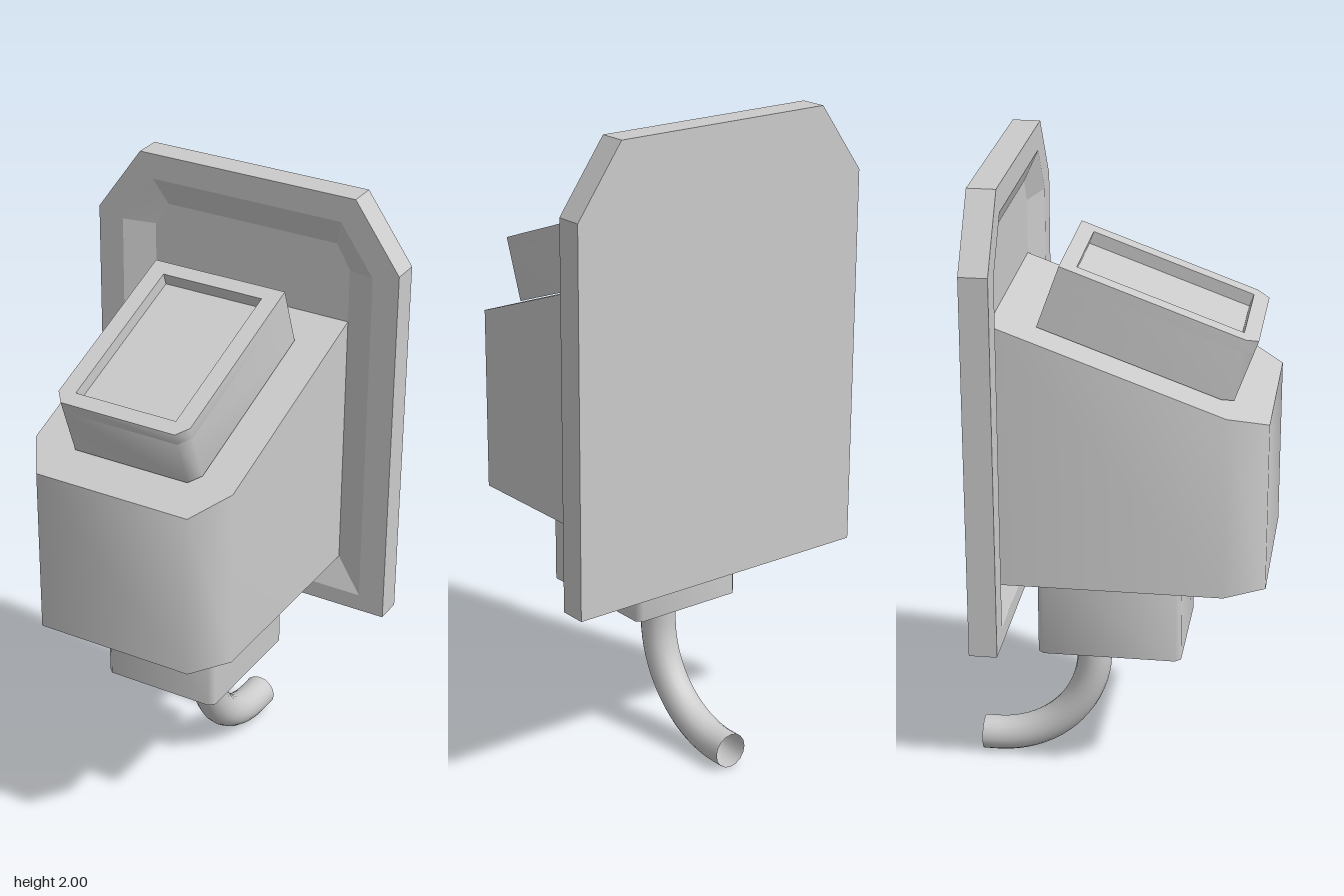
import * as THREE from 'three';
import { toCreasedNormals } from 'three/addons/utils/BufferGeometryUtils.js';

const TILT = THREE.MathUtils.degToRad(20);
const material = new THREE.MeshStandardMaterial({ color: 0xcccccc });
const openMaterial = new THREE.MeshStandardMaterial({ color: 0xcccccc, side: THREE.DoubleSide });

// Full outline from its right half, listed bottom to top
const mirror = (half) => [...half, ...half.map(([x, y]) => [-x, y]).reverse()];
const vectors = (pts) => pts.map(([x, y]) => new THREE.Vector2(x, y));

function extrude(pts, depth, hole) {
  const shape = new THREE.Shape(vectors(pts));
  if (hole) shape.holes.push(new THREE.Path(vectors(hole)));
  return new THREE.ExtrudeGeometry(shape, { depth, bevelEnabled: false });
}

// Upright prism standing on y = 0, outline given as half [x, z] from front to back
function upright(half, height, hole) {
  const flip = (pts) => pts.map(([x, z]) => [x, -z]);
  return extrude(flip(mirror(half)), height, hole && flip(mirror(hole))).rotateX(-Math.PI / 2);
}

function add(parent, name, geometry, mat = material, crease = 1.1) {
  const mesh = new THREE.Mesh(crease ? toCreasedNormals(geometry, crease) : geometry, mat);
  mesh.name = name;
  parent.add(mesh);
  return mesh;
}

export function createModel() {
  const model = new THREE.Group();
  model.name = 'wallMountedUnit';

  // Back plate with clipped top corners
  const outline = mirror([[0.515, 0.61], [0.515, 1.79], [0.365, 2]]);
  add(model, 'backPlate', extrude(outline, 0.045), material, 0.2).position.z = -0.395;

  // Plate rim: the back of its opening is pulled inward to form sloping walls
  const opening = mirror([[0.43, 0.665], [0.43, 1.765], [0.32, 1.92]]);
  const floor = mirror([[0.335, 0.76], [0.335, 1.755], [0.29, 1.83]]);
  const rim = extrude(outline, 0.04, opening);
  const p = rim.attributes.position;
  for (let i = 0; i < p.count; i++) {
    if (p.getZ(i) > 0.01) continue;
    const k = opening.findIndex(([x, y]) => Math.hypot(x - p.getX(i), y - p.getY(i)) < 1e-4);
    if (k >= 0) p.setXY(i, ...floor[k]);
  }
  add(model, 'plateRim', rim, material, 0.2).position.z = -0.35;

  // Main body, its top sheared to slope up toward the plate
  const body = upright([[0.255, 0.46], [0.335, 0.34], [0.335, -0.35]], 0.53);
  const b = body.attributes.position;
  for (let i = 0; i < b.count; i++) {
    if (b.getY(i) > 0.1) b.setY(i, 0.53 + (0.46 - b.getZ(i)) * Math.tan(TILT));
  }
  add(model, 'body', body).position.y = 0.76;

  // Tilted head with a shallow recessed panel
  const head = new THREE.Group();
  head.name = 'head';
  head.position.set(0, 1.44, 0.06);
  head.rotation.x = TILT;
  const headHalf = [[0.19, 0.308], [0.22, 0.27], [0.22, -0.308]];
  add(head, 'headBlock', upright(headHalf, 0.16));
  const panel = [[0.167, 0.26], [0.167, -0.26]];
  add(head, 'headRim', upright(headHalf, 0.04, panel)).position.y = 0.16;
  model.add(head);

  // Cable socket under the body
  const socket = upright([[0.175, 0.2], [0.192, 0.183], [0.192, -0.228], [0.175, -0.245]], 0.3);
  add(model, 'socket', socket).position.y = 0.46;

  // Cable bending backward, open at its end
  const v = (y, z) => new THREE.Vector3(0, y, z);
  const path = new THREE.CurvePath();
  const r = 0.32, k = r * 0.5523;
  path.add(new THREE.LineCurve3(v(0.47, -0.095), v(0.375, -0.095)));
  path.add(new THREE.CubicBezierCurve3(
    v(0.375, -0.095), v(0.375 - k, -0.095), v(0.055, -0.415 + k), v(0.055, -0.415)));
  path.add(new THREE.LineCurve3(v(0.055, -0.415), v(0.055, -0.457)));
  add(model, 'cable', new THREE.TubeGeometry(path, 24, 0.055, 16), openMaterial, 0);

  return model;
}
